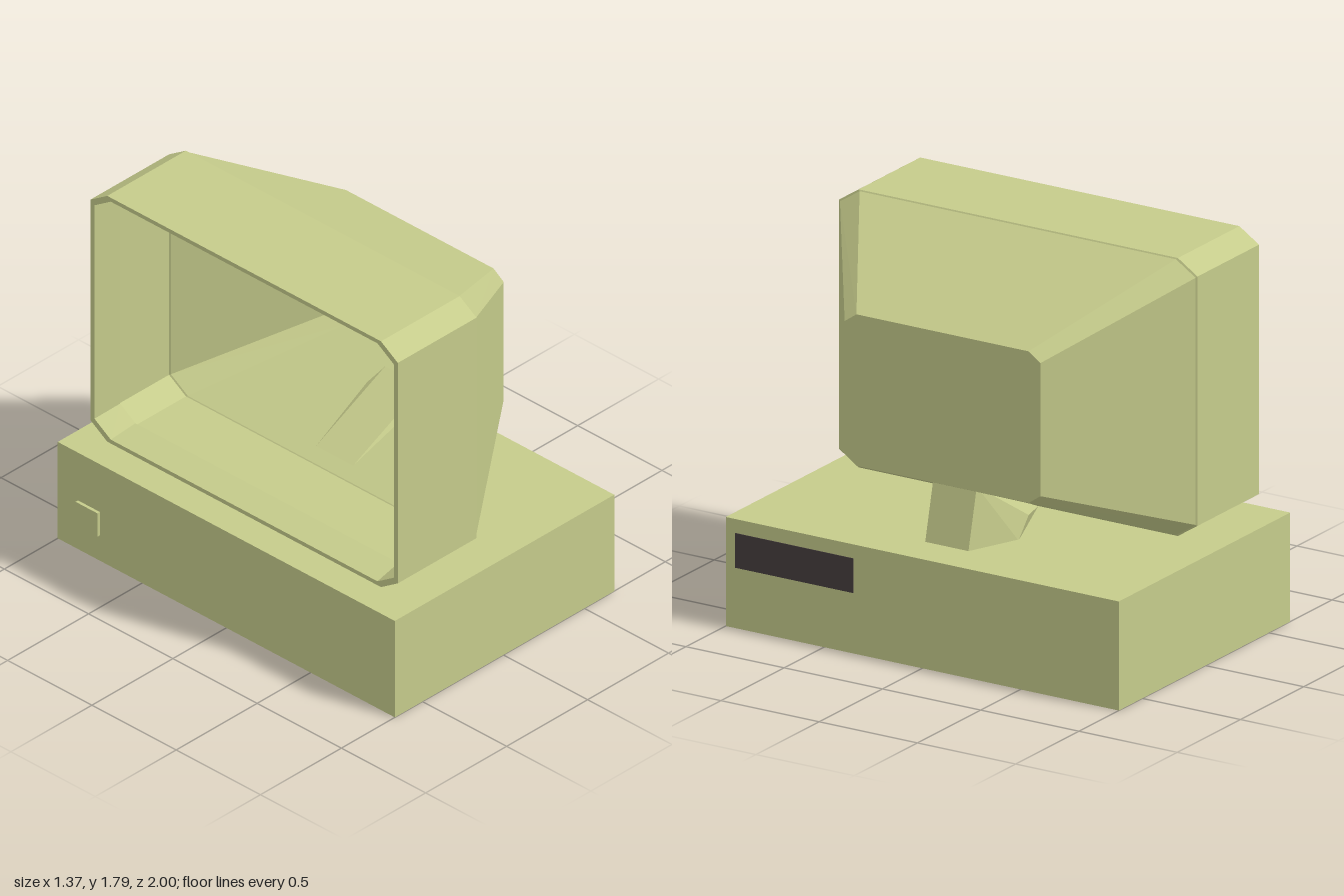
import * as THREE from 'three';
import { ConvexGeometry } from 'three/addons/geometries/ConvexGeometry.js';

// Chamfered rectangle in a plane of constant x: z half-width w, y from lo to hi, chamfer cz by cy
function ring(x, w, lo, hi, cz, cy) {
  return [
    [x, lo, w - cz], [x, lo + cy, w], [x, hi - cy, w], [x, hi, w - cz],
    [x, hi, cz - w], [x, hi - cy, -w], [x, lo + cy, -w], [x, lo, cz - w],
  ];
}

// Flat-shaded skin through successive rings, optionally closed at the last one
function loft(rings, capEnd) {
  const pos = [];
  for (let r = 0; r < rings.length - 1; r++) {
    const a = rings[r], b = rings[r + 1];
    for (let i = 0; i < 8; i++) {
      const j = (i + 1) % 8;
      pos.push(...a[i], ...b[j], ...b[i], ...a[i], ...a[j], ...b[j]);
    }
  }
  if (capEnd) {
    const e = rings[rings.length - 1];
    for (let i = 1; i < 7; i++) pos.push(...e[0], ...e[i], ...e[i + 1]);
  }
  const g = new THREE.BufferGeometry();
  g.setAttribute('position', new THREE.Float32BufferAttribute(pos, 3));
  g.computeVertexNormals();
  return g;
}

export function createModel() {
  const group = new THREE.Group();
  const casing = new THREE.MeshStandardMaterial({ color: 0xc5cb8b, side: THREE.DoubleSide });
  casing.name = 'casing';
  const dark = new THREE.MeshStandardMaterial({ color: 0x463e3e });
  dark.name = 'dark vent';

  const add = (name, geometry, material) => {
    const mesh = new THREE.Mesh(geometry, material);
    mesh.name = name;
    group.add(mesh);
  };
  // Box given by its minimum and maximum corners
  const box = (name, a, b, material) => {
    const g = new THREE.BoxGeometry(b[0] - a[0], b[1] - a[1], b[2] - a[2]);
    g.translate((a[0] + b[0]) / 2, (a[1] + b[1]) / 2, (a[2] + b[2]) / 2);
    add(name, g, material);
  };

  // Desktop case with power button and rear vent
  box('computerCase', [-0.67, 0, -1], [0.685, 0.495, 1], casing);
  box('powerButton', [-0.685, 0.13, -0.88], [-0.67, 0.25, -0.75], casing);
  box('rearVent', [0.683, 0.275, 0.35], [0.688, 0.432, 0.95], dark);

  // Open monitor front: inner lip, rim, outer wall, step at the seam
  const seam = ring(-0.07, 0.905, 0.534, 1.786, 0.1, 0.065);
  add('monitorFrame', loft([
    ring(-0.42, 0.912, 0.53, 1.792, 0.1, 0.065),
    ring(-0.42, 0.87, 0.572, 1.75, 0.09, 0.06),
    ring(-0.56, 0.888, 0.55, 1.772, 0.097, 0.063),
    ring(-0.56, 0.912, 0.53, 1.792, 0.1, 0.065),
    ring(-0.074, 0.912, 0.53, 1.792, 0.1, 0.065),
    seam,
  ]), casing);

  // Tapered, closed monitor back
  add('monitorBack', loft([
    seam,
    ring(0.525, 0.498, 0.787, 1.475, 0.06, 0.042),
  ], true), casing);

  // Faceted foot under the monitor
  const half = [[-0.06, 0.535, 0.11], [0.17, 0.583, 0.21], [0.25, 0.49, 0.21],
    [0.492, 0.49, 0.11], [0.425, 0.768, 0.11]];
  const points = half.flatMap(([x, y, z]) =>
    [new THREE.Vector3(x, y, z), new THREE.Vector3(x, y, -z)]);
  add('monitorStand', new ConvexGeometry(points), casing);

  return group;
}
